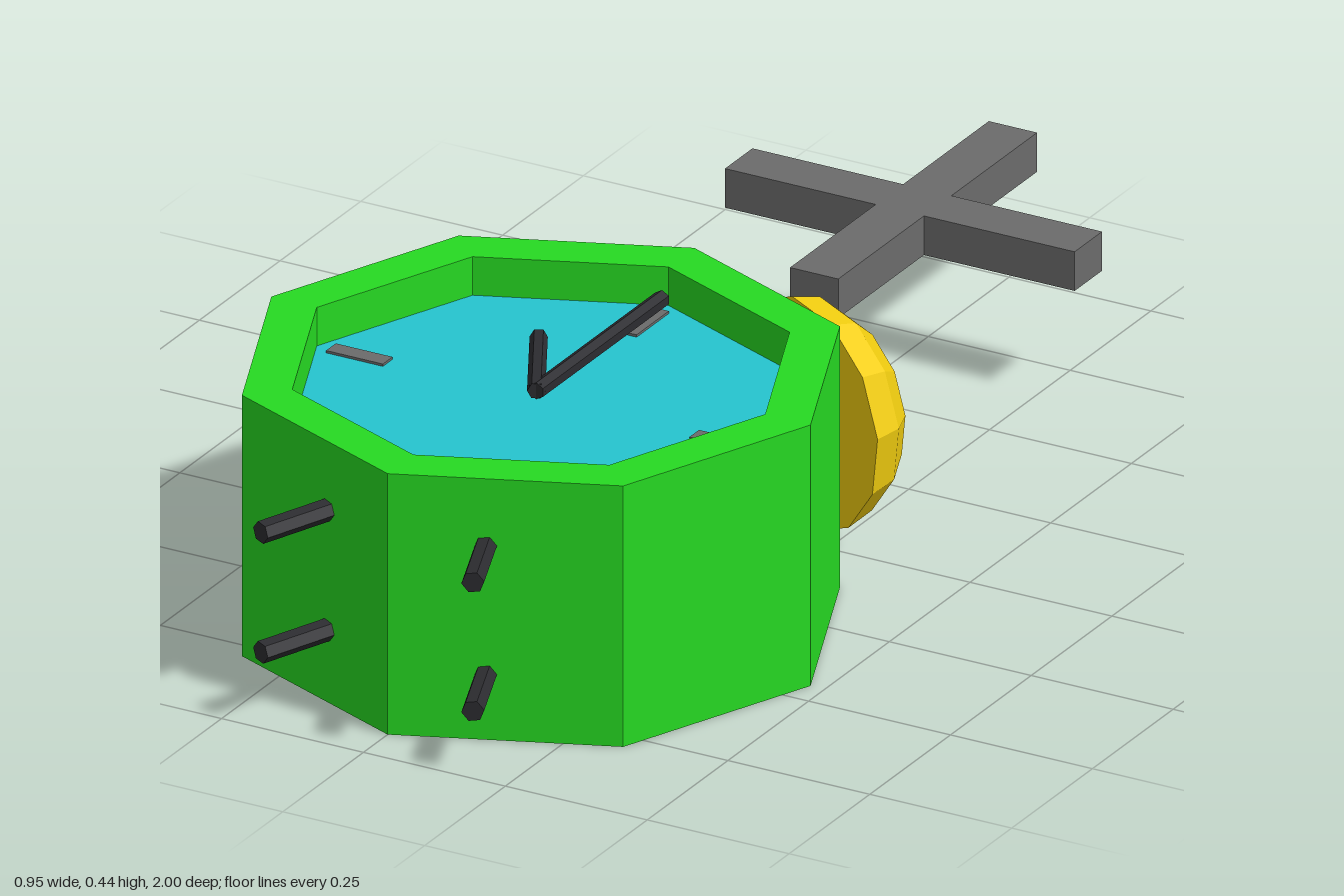
import * as THREE from 'three';

const mat = (color) => new THREE.MeshStandardMaterial({ color, flatShading: true, side: THREE.DoubleSide });

export function createModel() {
  const model = new THREE.Group();
  const green = mat(0x26d922), cyan = mat(0x25c4cf), gold = mat(0xf0cc10);
  const black = mat(0x2c2c30), grey = mat(0x6b6b6b);
  const UP = new THREE.Vector3(0, 1, 0);
  const MID = 0.22, CZ = 0.45;

  const add = (name, geometry, material, x = 0, y = 0, z = 0, parent = model) => {
    const mesh = new THREE.Mesh(geometry, material);
    mesh.name = name;
    mesh.position.set(x, y, z);
    parent.add(mesh);
    return mesh;
  };
  // Hexagonal rod between two points
  const rod = (name, a, b, r) => {
    const from = new THREE.Vector3(...a), to = new THREE.Vector3(...b);
    const dir = to.clone().sub(from);
    const mesh = add(name, new THREE.CylinderGeometry(r, r, dir.length(), 6), black);
    mesh.position.copy(from).add(to).multiplyScalar(0.5);
    mesh.quaternion.setFromUnitVectors(UP, dir.normalize());
    return mesh;
  };

  // Octagonal case with a raised rim around the recessed dial
  const profile = [[0, 0], [0.475, 0], [0.475, 0.44], [0.395, 0.44], [0.395, 0.375]];
  add('case', new THREE.LatheGeometry(profile.map((p) => new THREE.Vector2(...p)), 8), green, 0, 0, CZ);
  add('dial', new THREE.CircleGeometry(0.395, 8, Math.PI / 2).rotateX(-Math.PI / 2), cyan, 0, 0.375, CZ);

  // Plain marks at the four quarter hours
  for (let i = 0; i < 4; i++) {
    const a = i * Math.PI / 2;
    const mark = add('hourMark', new THREE.BoxGeometry(0.03, 0.004, 0.1), grey,
      Math.sin(a) * 0.32, 0.377, CZ - Math.cos(a) * 0.32);
    mark.rotation.y = -a;
  }

  // Hands
  rod('minuteHand', [0, 0.395, 0.465], [0, 0.395, 0.075], 0.014);
  rod('hourHand', [0, 0.395, 0.465], [-0.095, 0.395, 0.29], 0.014);

  // Two domed bells, each on a post that ends in a small knob
  for (const [side, cx, cz] of [[1, 0.207, 0.005], [-1, -0.192, 0.008]]) {
    const tilt = Math.PI / 8;
    const dx = side * Math.sin(tilt), dz = -Math.cos(tilt);
    const bell = new THREE.Group();
    bell.name = side > 0 ? 'leftBell' : 'rightBell';
    bell.position.set(cx, MID, cz);
    bell.quaternion.setFromUnitVectors(UP, new THREE.Vector3(dx, 0, dz));
    model.add(bell);
    const dome = new THREE.SphereGeometry(1, 12, 4, 0, Math.PI * 2, 0, Math.PI / 2).scale(0.19, 0.137, 0.19);
    add('bellDome', dome, gold, 0, 0, 0, bell);
    add('bellBase', new THREE.CircleGeometry(0.19, 12).rotateX(Math.PI / 2), gold, 0, 0, 0, bell);
    rod('bellPost', [cx - dx * 0.08, MID, cz - dz * 0.08], [cx + dx * 0.15, MID, cz + dz * 0.15], 0.018);
  }

  // Striker between the bells
  rod('strikerStem', [0, MID, 0], [0, MID, -0.155], 0.017);
  rod('strikerHead', [-0.066, MID, -0.157], [0.066, MID, -0.157], 0.019);

  // Four splayed feet
  for (const [side, ys] of [[1, [0.325, 0.108]], [-1, [0.324, 0.122]]]) {
    for (const y of ys) {
      rod('foot', [side * 0.125, y, 0.83], [side * 0.187, y, 0.99], 0.018);
    }
  }

  // Separate cross-shaped block behind the clock, outlined as one solid
  const L = 0.308, w = 0.0425;
  const outline = [[w, w], [w, L], [-w, L], [-w, w], [-L, w], [-L, -w],
    [-w, -w], [-w, -L], [w, -L], [w, -w], [L, -w], [L, w]];
  const cross = new THREE.ExtrudeGeometry(
    new THREE.Shape(outline.map((p) => new THREE.Vector2(...p))), { depth: 0.066, bevelEnabled: false });
  add('cross', cross.rotateX(-Math.PI / 2), grey, 0.007, 0.189, -0.692);

  return model;
}
